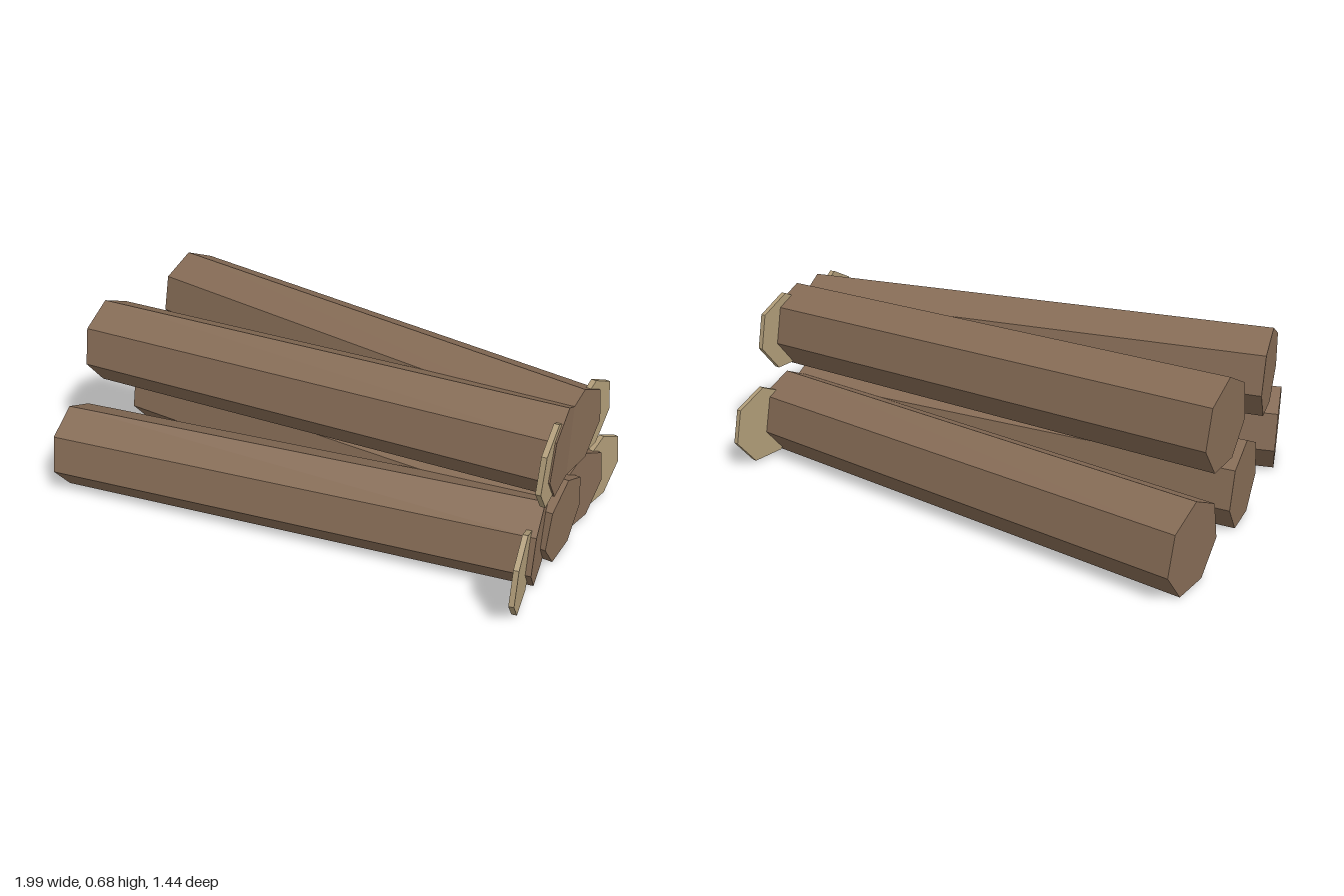
import * as THREE from 'three';

const SIDES = 7;
const LOG_RADIUS = 0.174;
const LOG_LENGTH = 1.946;
const DISC_RADIUS = 0.161;
const DISC_THICKNESS = 0.02;

// Seven-sided prism lying along x with one edge pointing up
function prism(radius, length) {
  return new THREE.CylinderGeometry(radius, radius, length, SIDES)
    .rotateZ(-Math.PI / 2)
    .rotateX(-Math.PI / 2);
}

export function createModel() {
  const model = new THREE.Group();
  model.name = 'logPile';

  const bark = new THREE.MeshStandardMaterial({ color: 0x856b55, flatShading: true });
  bark.name = 'bark brown';
  const cutWood = new THREE.MeshStandardMaterial({ color: 0xb09c78, flatShading: true });
  cutWood.name = 'cut wood tan';

  const logGeometry = prism(LOG_RADIUS, LOG_LENGTH);
  const discGeometry = prism(DISC_RADIUS, DISC_THICKNESS);

  // Fanned logs: name, centre height, centre z, turn about y
  const logs = [
    ['bottomBackLog', 0.157, -0.385, -0.176],
    ['bottomMiddleLog', 0.157, -0.015, 0],
    ['bottomFrontLog', 0.157, 0.35, 0.206],
    ['topBackLog', 0.507, -0.192, -0.105],
    ['topFrontLog', 0.507, 0.157, 0.104],
  ];

  for (const [name, y, z, turn] of logs) {
    const log = new THREE.Mesh(logGeometry, bark);
    log.name = name;
    log.position.set(-0.012, y, z);
    log.rotation.y = turn;

    // Cut slice standing at the narrow end, parallel to the log's end face
    const disc = new THREE.Mesh(discGeometry, cutWood);
    disc.name = name + 'CutDisc';
    disc.position.set(0.95, y, z);
    disc.rotation.y = turn;

    model.add(log, disc);
  }
  return model;
}
